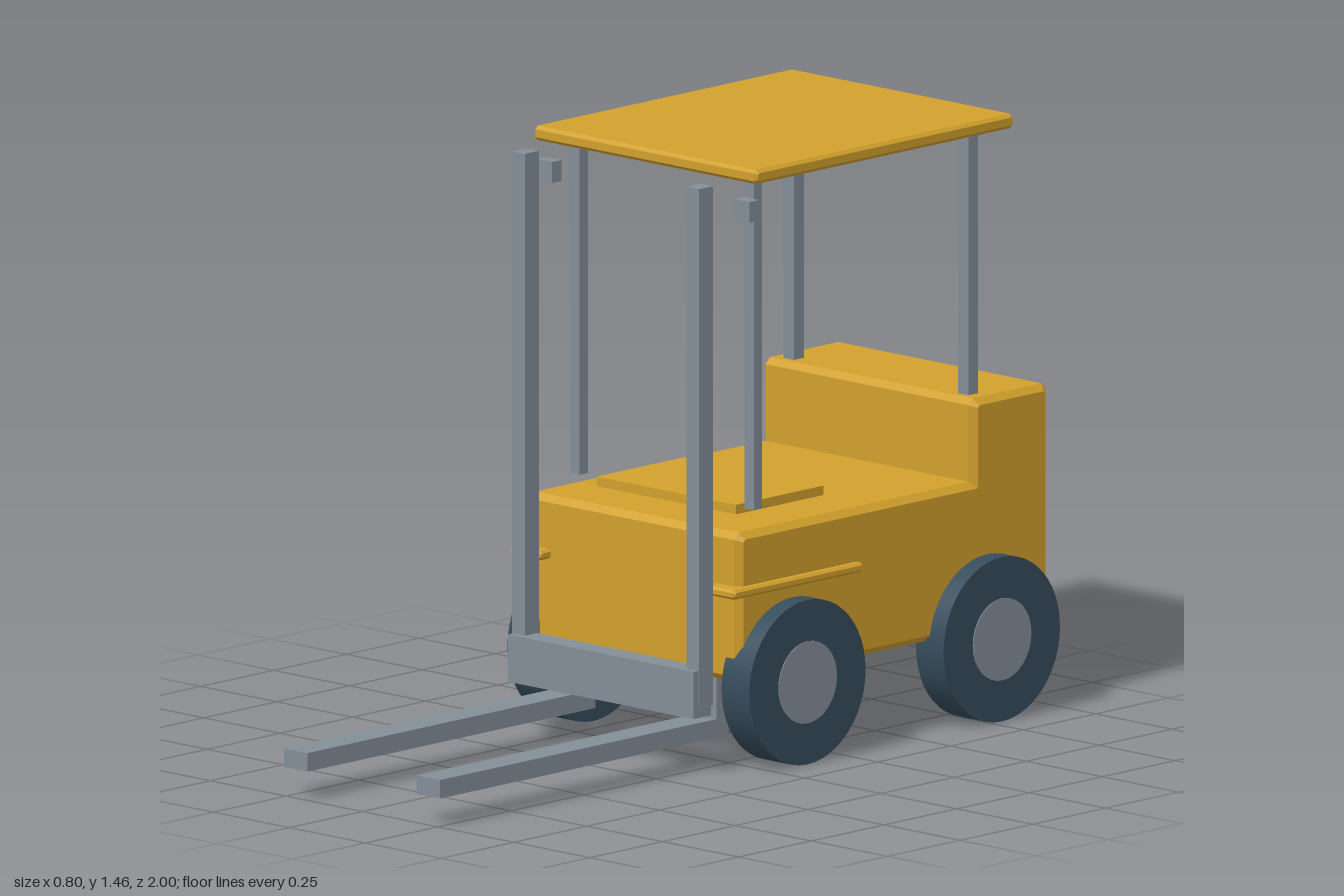
import * as THREE from 'three';

const paint = new THREE.MeshStandardMaterial({ color: 0xd2a02c });
paint.name = 'yellow paint';
const steel = new THREE.MeshStandardMaterial({ color: 0x848e98 });
steel.name = 'grey steel';
const rubber = new THREE.MeshStandardMaterial({ color: 0x364c5c });
rubber.name = 'dark rubber';

export function createModel() {
  const model = new THREE.Group();
  model.name = 'forklift';

  const add = (name, geometry, material) => {
    const mesh = new THREE.Mesh(geometry, material);
    mesh.name = name;
    model.add(mesh);
    return mesh;
  };

  // Box given by its limits on each axis
  const box = (name, material, [x0, x1], [y0, y1], [z0, z1]) => {
    const mesh = add(name, new THREE.BoxGeometry(x1 - x0, y1 - y0, z1 - z0), material);
    mesh.position.set((x0 + x1) / 2, (y0 + y1) / 2, (z0 + z1) / 2);
    return mesh;
  };

  // Side profile of [z, y] points, extruded across x with chamfered ends
  const slab = (name, points, x0, x1, bevel) => {
    const shape = new THREE.Shape(points.map(([z, y]) => new THREE.Vector2(z, y)));
    const depth = x1 - x0 - 2 * bevel;
    const geometry = new THREE.ExtrudeGeometry(shape, {
      depth, bevelEnabled: true, bevelSegments: 1,
      bevelSize: bevel, bevelThickness: bevel, bevelOffset: -bevel,
    });
    geometry.translate(0, 0, -depth / 2);
    geometry.rotateY(-Math.PI / 2);
    geometry.translate((x0 + x1) / 2, 0, 0);
    return add(name, geometry, paint);
  };

  // Rectangle profile with cut corners
  const cutRect = (z0, z1, y0, y1, c) => [
    [z0 + c, y0], [z1 - c, y0], [z1, y0 + c], [z1, y1 - c],
    [z1 - c, y1], [z0 + c, y1], [z0, y1 - c], [z0, y0 + c],
  ];

  // L-shaped body with raised counterweight at the rear
  slab('body', [
    [-0.985, 0.22], [0.055, 0.22], [0.07, 0.235], [0.07, 0.568], [0.055, 0.584],
    [-0.735, 0.584], [-0.735, 0.77], [-0.75, 0.785], [-0.985, 0.785],
    [-1, 0.77], [-1, 0.235],
  ], -0.35, 0.35, 0.016);

  box('seat', paint, [-0.23, 0.23], [0.597, 0.62], [-0.345, -0.045]);
  slab('roof', cutRect(-0.86, 0.03, 1.43, 1.465, 0.008), -0.367, 0.367, 0.008);
  box('carriage', steel, [-0.305, 0.305], [0.145, 0.26], [0.12, 0.18]);

  for (const [side, s] of [['left', 1], ['right', -1]]) {
    const span = (a, b) => (s > 0 ? [a, b] : [-b, -a]);

    // Lift mast, forks and their heels
    box(`${side}Mast`, steel, span(0.266, 0.308), [0.17, 1.432], [0.115, 0.163]);
    box(`${side}Fork`, steel, span(0.18, 0.257), [0.073, 0.118], [0.05, 1]);
    box(`${side}ForkHeel`, steel, span(0.18, 0.257), [0.073, 0.23], [0.01, 0.05]);

    // Roof posts
    box(`${side}FrontPost`, steel, span(0.272, 0.302), [0.62, 1.43], [-0.06, -0.031]);
    box(`${side}RearPost`, steel, span(0.27, 0.304), [0.78, 1.43], [-0.8, -0.766]);

    // Fenders and lamps
    const [f0, f1] = span(0.27, 0.37);
    slab(`${side}Fender`, cutRect(-0.34, 0.108, 0.432, 0.455, 0.006), f0, f1, 0.006);
    box(`${side}Lamp`, steel, span(0.3, 0.35), [1.336, 1.387], [0.002, 0.034]);

    // Wheels with flush hubs
    for (const [end, z] of [['Front', -0.115], ['Rear', -0.783]]) {
      const tyre = add(`${side}${end}Tyre`, new THREE.CylinderGeometry(0.2, 0.2, 0.091, 48), rubber);
      tyre.rotation.z = Math.PI / 2;
      tyre.position.set(s * 0.3525, 0.203, z);
      const hub = add(`${side}${end}Hub`, new THREE.CylinderGeometry(0.1, 0.1, 0.095, 32), steel);
      hub.rotation.z = Math.PI / 2;
      hub.position.set(s * 0.3525, 0.203, z);
    }
  }

  // Rest the wheels on the ground
  model.children.forEach((part) => { part.position.y -= 0.003; });
  return model;
}
